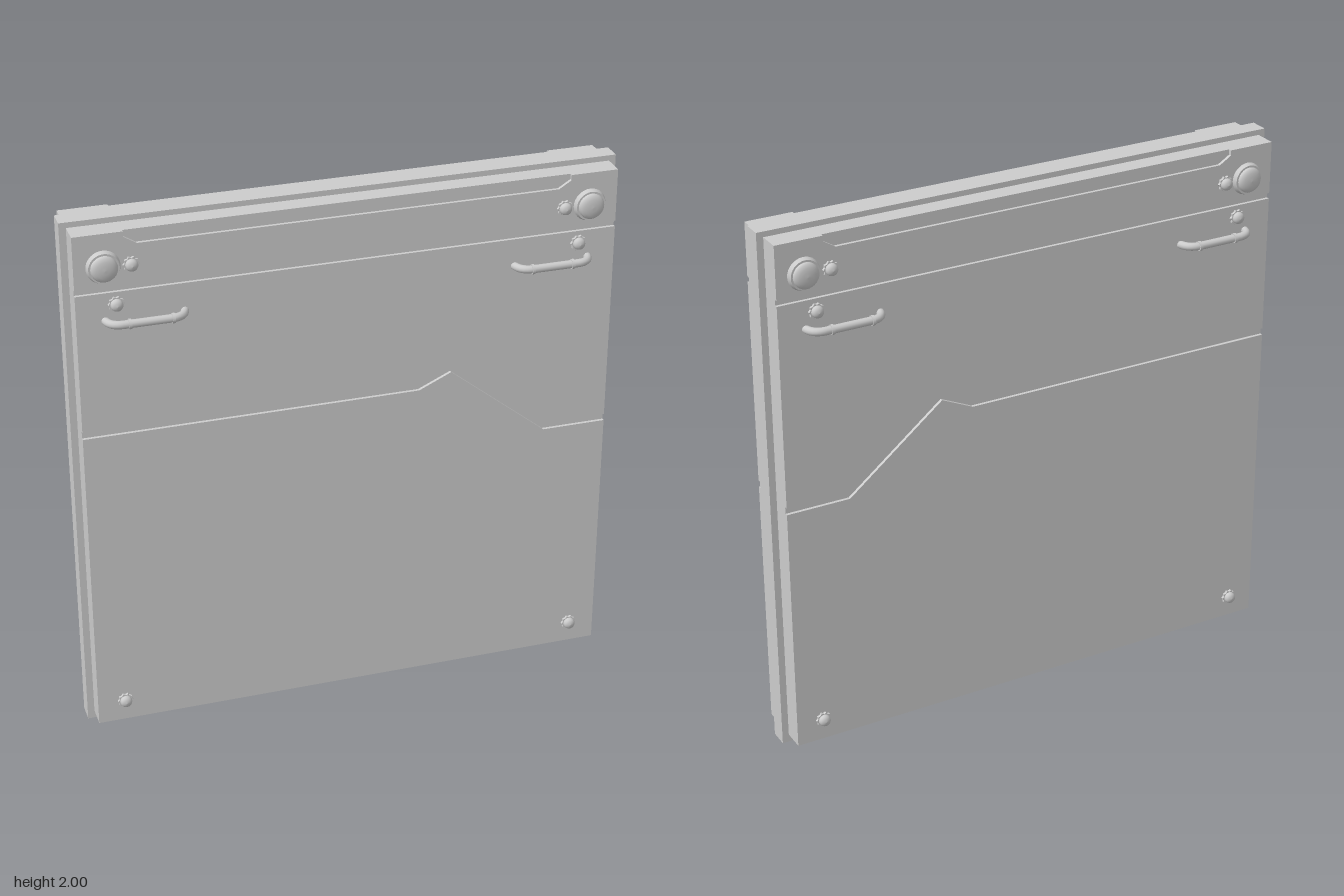
import * as THREE from 'three';

const mat = new THREE.MeshStandardMaterial({ color: 0xcccccc });
const FACE = 0.118, BED = 0.106; // outer face of the plates, floor of the grooves

function add(parent, name, geometry, x = 0, y = 0, z = 0) {
  const mesh = new THREE.Mesh(geometry, mat);
  mesh.name = name;
  mesh.position.set(x, y, z);
  parent.add(mesh);
  return mesh;
}

// Flat plate standing on the groove floor
function plate(parent, name, points) {
  const shape = new THREE.Shape(points.map(p => new THREE.Vector2(...p)));
  add(parent, name, new THREE.ExtrudeGeometry(shape, { depth: FACE - BED, bevelEnabled: false }), 0, 0, BED);
}

// Round part turned around the z axis from [radius, height] pairs
function turned(profile, segments) {
  return new THREE.LatheGeometry(profile.map(p => new THREE.Vector2(...p)), segments).rotateX(Math.PI / 2);
}

// Domed rivet on a scalloped washer
function rivet(parent, x, y) {
  const group = new THREE.Group();
  group.name = 'rivet';
  const star = new THREE.Shape();
  for (let i = 0; i < 20; i++) {
    const a = i / 20 * Math.PI * 2, r = i % 2 ? 0.024 : 0.029;
    star[i ? 'lineTo' : 'moveTo'](Math.cos(a) * r, Math.sin(a) * r);
  }
  add(group, 'rivetWasher', new THREE.ExtrudeGeometry(star, { depth: 0.01, bevelEnabled: false }));
  add(group, 'rivetDome', turned([[0.022, 0.008], [0.022, 0.017], [0.019, 0.024], [0.011, 0.029], [0, 0.031]], 20));
  group.position.set(x, y, FACE);
  parent.add(group);
}

// Large bolt with a stepped flange and a shallow domed cap
function bolt(parent, x, y) {
  const group = new THREE.Group();
  group.name = 'largeBolt';
  add(group, 'boltFlange', new THREE.CylinderGeometry(0.054, 0.06, 0.016, 32).rotateX(Math.PI / 2), 0, 0, 0.008);
  add(group, 'boltCap', turned([[0.047, 0.01], [0.047, 0.021], [0.042, 0.028], [0.03, 0.033], [0.015, 0.035], [0, 0.036]], 32));
  group.position.set(x, y, FACE);
  parent.add(group);
}

// Grab handle: bent tube with two collars
function handle(parent, side) {
  const group = new THREE.Group();
  group.name = 'handle';
  const v = (x, z) => new THREE.Vector3(x * side, 1.66, z);
  const path = new THREE.CurvePath();
  path.add(new THREE.QuadraticBezierCurve3(v(0.875, 0.11), v(0.87, 0.163), v(0.82, 0.163)));
  path.add(new THREE.LineCurve3(v(0.82, 0.163), v(0.655, 0.163)));
  path.add(new THREE.QuadraticBezierCurve3(v(0.655, 0.163), v(0.605, 0.163), v(0.597, 0.11)));
  add(group, 'handleBar', new THREE.TubeGeometry(path, 32, 0.0145, 12));
  for (const x of [0.8, 0.65])
    add(group, 'handleCollar', new THREE.CylinderGeometry(0.018, 0.018, 0.01, 16).rotateZ(Math.PI / 2), x * side, 1.66, 0.163);
  parent.add(group);
}

function facePanel() {
  const panel = new THREE.Group();
  const W = 0.975, bottom = 0.03, top = 1.98;

  // Backing slab that forms the groove floors
  add(panel, 'backingSlab', new THREE.BoxGeometry(2 * W, top - bottom, BED - 0.03), 0, (top + bottom) / 2, (BED + 0.03) / 2);

  // Plates separated by a straight groove and a jogged groove
  const seam = [[-W, 1.245], [0.25, 1.245], [0.37, 1.3], [0.735, 1.007], [W, 1.007]];
  plate(panel, 'lowerPlate', [[-W, bottom], [W, bottom], ...seam.map(([x, y]) => [x, y - 0.026]).reverse()]);
  plate(panel, 'middlePlate', [...seam, [W, 1.763], [-W, 1.763]]);
  plate(panel, 'upperPlate', [[-W, 1.784], [W, 1.784], [W, top], [0.8, top], [0.8, 1.96],
    [0.755, 1.932], [-0.755, 1.932], [-0.8, 1.96], [-0.8, top], [-W, top]]);

  for (const side of [-1, 1]) {
    bolt(panel, 0.873 * side, 1.86);
    rivet(panel, 0.778 * side, 1.86);
    rivet(panel, 0.835 * side, 1.72);
    rivet(panel, 0.873 * side, 0.115);
    handle(panel, side);
  }
  return panel;
}

export function createModel() {
  const model = new THREE.Group();
  model.name = 'armouredPanel';
  add(model, 'core', new THREE.BoxGeometry(2, 2, 0.07), 0, 1, 0);

  // The back repeats the front, mirrored through the core
  const front = facePanel();
  front.name = 'frontPanel';
  const back = facePanel();
  back.name = 'backPanel';
  back.scale.z = -1;
  model.add(front, back);
  return model;
}
